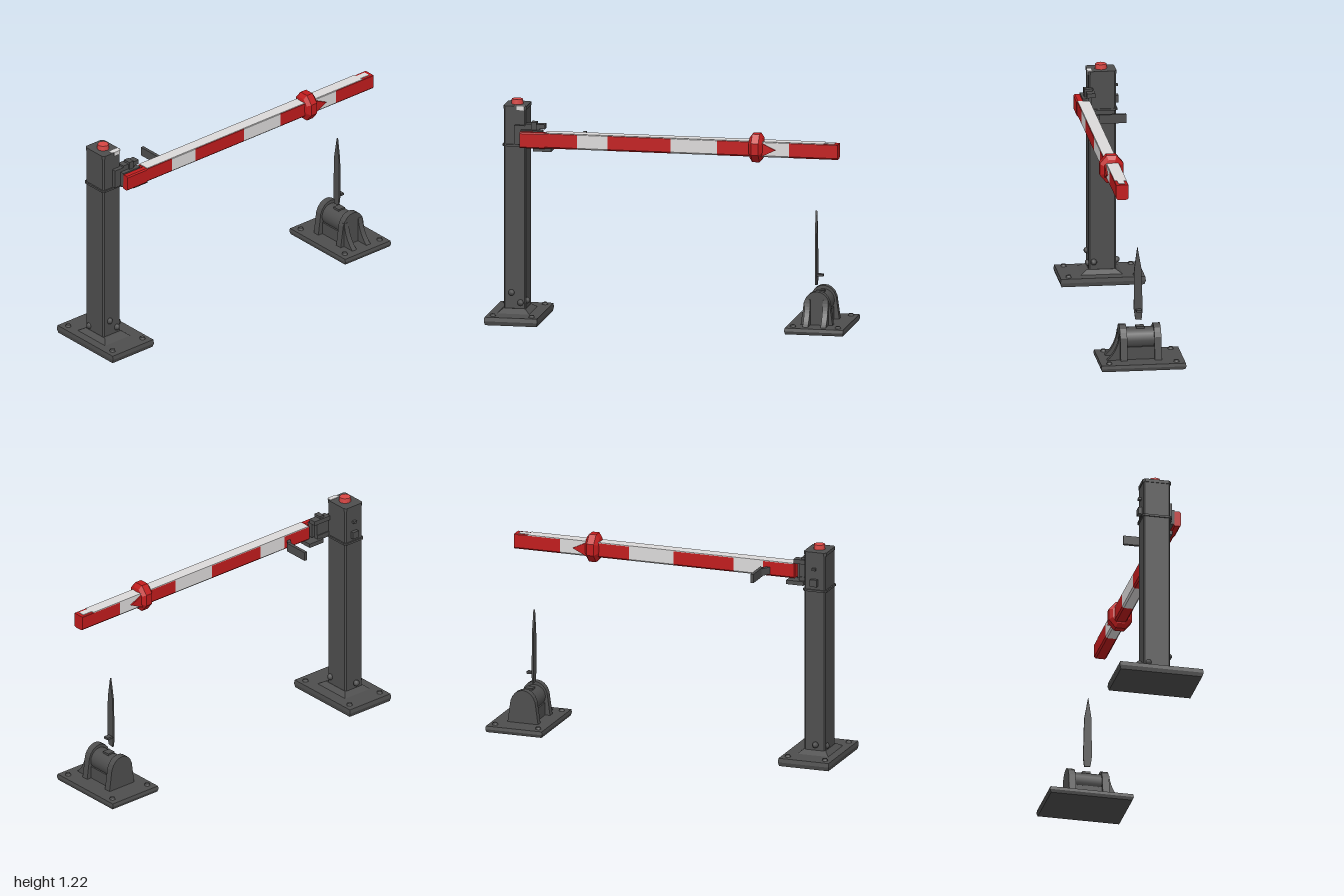
import * as THREE from 'three';

const mat = (name, color) => {
  const m = new THREE.MeshStandardMaterial({ color });
  m.name = name;
  return m;
};

export function createModel() {
  const root = new THREE.Group();
  root.name = 'barrierGate';
  const steel = mat('darkSteel', 0x4e4e4e);
  const red = mat('signalRed', 0xc21c1d);
  const white = mat('paleWhite', 0xdcdada);
  const lampRed = mat('lampRed', 0xd84644);

  const add = (parent, name, geo, material, x = 0, y = 0, z = 0) => {
    const m = new THREE.Mesh(geo, material);
    m.name = name;
    m.position.set(x, y, z);
    parent.add(m);
    return m;
  };
  // box given by its limits on each axis
  const block = (parent, name, material, [x0, x1], [y0, y1], [z0, z1]) =>
    add(parent, name, new THREE.BoxGeometry(x1 - x0, y1 - y0, z1 - z0), material,
      (x0 + x1) / 2, (y0 + y1) / 2, (z0 + z1) / 2);
  const outline = (points) => new THREE.Shape(points.map(([x, y]) => new THREE.Vector2(x, y)));
  // rectangle with chamfered lower corners (c) and upper corners (t)
  const chamfered = (w, h, c, t = c) => outline([
    [-w + c, -h], [w - c, -h], [w, -h + c], [w, h - t],
    [w - t, h], [-w + t, h], [-w, h - t], [-w, -h + c],
  ]);
  const prism = (shape, depth) => new THREE.ExtrudeGeometry(shape, { depth, bevelEnabled: false, curveSegments: 10 });
  const upright = (w, d, c, h) => prism(chamfered(w, d, c), h).rotateX(-Math.PI / 2);
  // flat shaded copy of a geometry
  const faceted = (geo) => {
    const g = geo.toNonIndexed();
    g.computeVertexNormals();
    return g;
  };

  // ground plates, slightly narrower below, with bolts
  const groundPlate = (name, y0, y1, z, halfDepth) => {
    const g = new THREE.Group();
    g.name = name;
    const geo = new THREE.BoxGeometry(0.47, y1 - y0, halfDepth * 2, 1, 2, 1);
    const p = geo.attributes.position;
    for (let i = 0; i < p.count; i++) {
      if (Math.abs(p.getY(i)) > 0.001) {
        const k = p.getY(i) > 0 ? 0.985 : 0.97;
        p.setX(i, p.getX(i) * k);
        p.setZ(i, p.getZ(i) * k);
      }
    }
    add(g, 'plate', faceted(geo), steel, 0, (y0 + y1) / 2, z);
    for (const sx of [-1, 1]) for (const sz of [-1, 1]) {
      add(g, 'bolt', new THREE.CylinderGeometry(0.012, 0.018, 0.014, 6), steel,
        sx * 0.185, y1 + 0.005, z + sz * (halfDepth - 0.04));
    }
    root.add(g);
    return g;
  };
  groundPlate('postBase', 0, 0.045, 0.852, 0.148);
  const restBase = groundPlate('restBase', 0.015, 0.05, -0.835, 0.165);

  // post with foot, collar and cap
  const post = new THREE.Group();
  post.name = 'post';
  root.add(post);
  const PX = -0.008, PZ = 0.862;
  add(post, 'column', upright(0.075, 0.061, 0.007, 1.14), steel, PX, 0.04, PZ);
  const foot = new THREE.CylinderGeometry(0.108, 0.16, 0.025, 4).rotateY(Math.PI / 4);
  foot.scale(1.05, 1, 0.82);
  add(post, 'foot', faceted(foot), steel, 0, 0.055, PZ);
  add(post, 'collar', upright(0.083, 0.069, 0.012, 0.011), steel, PX, 0.969, PZ);
  add(post, 'cap', upright(0.079, 0.065, 0.012, 0.018), steel, PX, 1.175, PZ);
  // pale worn corner of the cap
  block(post, 'capPatchTop', white, [0.046, 0.07], [1.19, 1.196], [0.805, 0.865]);
  block(post, 'capPatchSide', white, [0.068, 0.074], [1.172, 1.196], [0.81, 0.85]);
  add(post, 'lamp', new THREE.CylinderGeometry(0.031, 0.034, 0.028, 8), lampRed, PX, 1.206, PZ);
  block(post, 'latch', steel, [-0.103, -0.078], [1.0, 1.04], [0.84, 0.88]);
  block(post, 'hook', steel, [-0.1, -0.078], [1.09, 1.103], [0.85, 0.87]);
  // clamp screws around the foot
  for (const [x, y, z] of [[-0.095, 0.1, 0.87], [-0.055, 0.09, 0.92], [0.068, 0.1, 0.83],
    [0.04, 0.11, 0.798], [0.068, 0.155, 0.88]]) {
    add(post, 'footScrew', new THREE.SphereGeometry(0.018, 7, 5), steel, x, y, z);
  }

  // hinge bracket between post and boom
  const hinge = new THREE.Group();
  hinge.name = 'hinge';
  root.add(hinge);
  block(hinge, 'hingePlate', steel, [0.06, 0.09], [0.985, 1.09], [0.72, 0.86]);
  block(hinge, 'hingePin', steel, [0.08, 0.114], [0.985, 1.07], [0.7, 0.82]);
  block(hinge, 'upperArm', steel, [0.045, 0.09], [1.075, 1.1], [0.69, 0.8]);
  block(hinge, 'upperTab', steel, [0.055, 0.1], [1.07, 1.113], [0.735, 0.765]);
  block(hinge, 'lowerArm', steel, [0.04, 0.118], [0.955, 0.978], [0.65, 0.75]);
  block(hinge, 'lowerLink', steel, [0.055, 0.085], [0.97, 1.0], [0.72, 0.81]);
  block(hinge, 'sidePaddle', steel, [-0.1, 0.05], [0.985, 1.035], [0.494, 0.512]);
  const bend = block(hinge, 'paddleArm', steel, [0.025, 0.095], [0.99, 1.03], [0.51, 0.53]);
  bend.rotation.y = -0.55;

  // striped boom with a pale top face
  const boom = new THREE.Group();
  boom.name = 'boom';
  root.add(boom);
  const BX = 0.112, BY = 1.02;
  const stripes = [0.68, 0.5, 0.33, -0.02, -0.28, -0.525, -0.68, -0.95];
  for (let i = 0; i < stripes.length - 1; i++) {
    const a = stripes[i], b = stripes[i + 1];
    add(boom, i % 2 ? 'whiteStripe' : 'redStripe', prism(chamfered(0.034, 0.042, 0.009, 0.002), a - b),
      i % 2 ? white : red, BX, BY, b);
  }
  add(boom, 'hingeEnd', prism(chamfered(0.02, 0.044, 0.007), 0.14), red, 0.129, BY, 0.68);
  block(boom, 'topFace', white, [BX - 0.034, BX + 0.032], [1.06, 1.065], [-0.87, 0.675]);
  block(boom, 'topFaceTip', white, [BX - 0.018, BX + 0.018], [1.06, 1.065], [-0.93, -0.87]);

  // collar ring with pointed tail
  const ringProfile = [[0.03, -0.042], [0.056, -0.037], [0.078, -0.02], [0.078, 0.02], [0.056, 0.037], [0.03, 0.042]]
    .map(([r, h]) => new THREE.Vector2(r, h));
  const ring = new THREE.LatheGeometry(ringProfile, 8).rotateY(Math.PI / 8).rotateX(Math.PI / 2);
  ring.scale(0.9, 1.08, 1);
  add(boom, 'ring', faceted(ring), red, BX + 0.002, 1.026, -0.495);
  const tail = outline([[0.51, -0.046], [0.605, 0], [0.51, 0.046]]);
  add(boom, 'ringTail', prism(tail, 0.084).rotateY(Math.PI / 2), red, BX - 0.042, BY, 0);

  // boom rest: two arched cheeks, flared ribs on the left one, and a roller
  const cheek = new THREE.Shape();
  cheek.moveTo(-0.09, 0.04);
  cheek.lineTo(0.09, 0.04);
  cheek.lineTo(0.076, 0.14);
  cheek.bezierCurveTo(0.074, 0.267, -0.074, 0.267, -0.076, 0.14);
  cheek.closePath();
  const rib = new THREE.Shape();
  rib.moveTo(0.09, 0.04);
  rib.lineTo(0.2, 0.04);
  rib.quadraticCurveTo(0.13, 0.09, 0.118, 0.19);
  rib.lineTo(0.09, 0.19);
  rib.closePath();
  const RZ = -0.828;
  add(restBase, 'leftCheek', prism(cheek, 0.038).rotateY(Math.PI / 2), steel, 0.078, 0, RZ);
  add(restBase, 'rightCheek', prism(cheek, 0.038).rotateY(Math.PI / 2), steel, -0.11, 0, RZ);
  for (const z of [-0.05, 0.05]) add(restBase, 'rib', prism(rib, 0.03), steel, 0, 0, RZ + z - 0.015);
  add(restBase, 'roller', new THREE.CylinderGeometry(0.062, 0.062, 0.17, 20).rotateZ(Math.PI / 2), steel, 0, 0.155, RZ);
  block(restBase, 'rollerBed', steel, [-0.09, 0.09], [0.04, 0.12], [RZ - 0.06, RZ + 0.06]);
  block(restBase, 'rollerTab', steel, [-0.022, 0.022], [0.2, 0.224], [RZ - 0.022, RZ + 0.022]);

  // upright blade over the rest
  const blade = outline([[-0.012, 0.25], [0.022, 0.255], [0.03, 0.31], [0.028, 0.54], [0.01, 0.665], [-0.012, 0.54], [-0.018, 0.31]]);
  add(root, 'blade', prism(blade, 0.01), steel, 0, 0, -0.811);
  block(root, 'bladeTab', steel, [-0.01, 0.02], [0.302, 0.314], [-0.845, -0.805]);

  return root;
}
